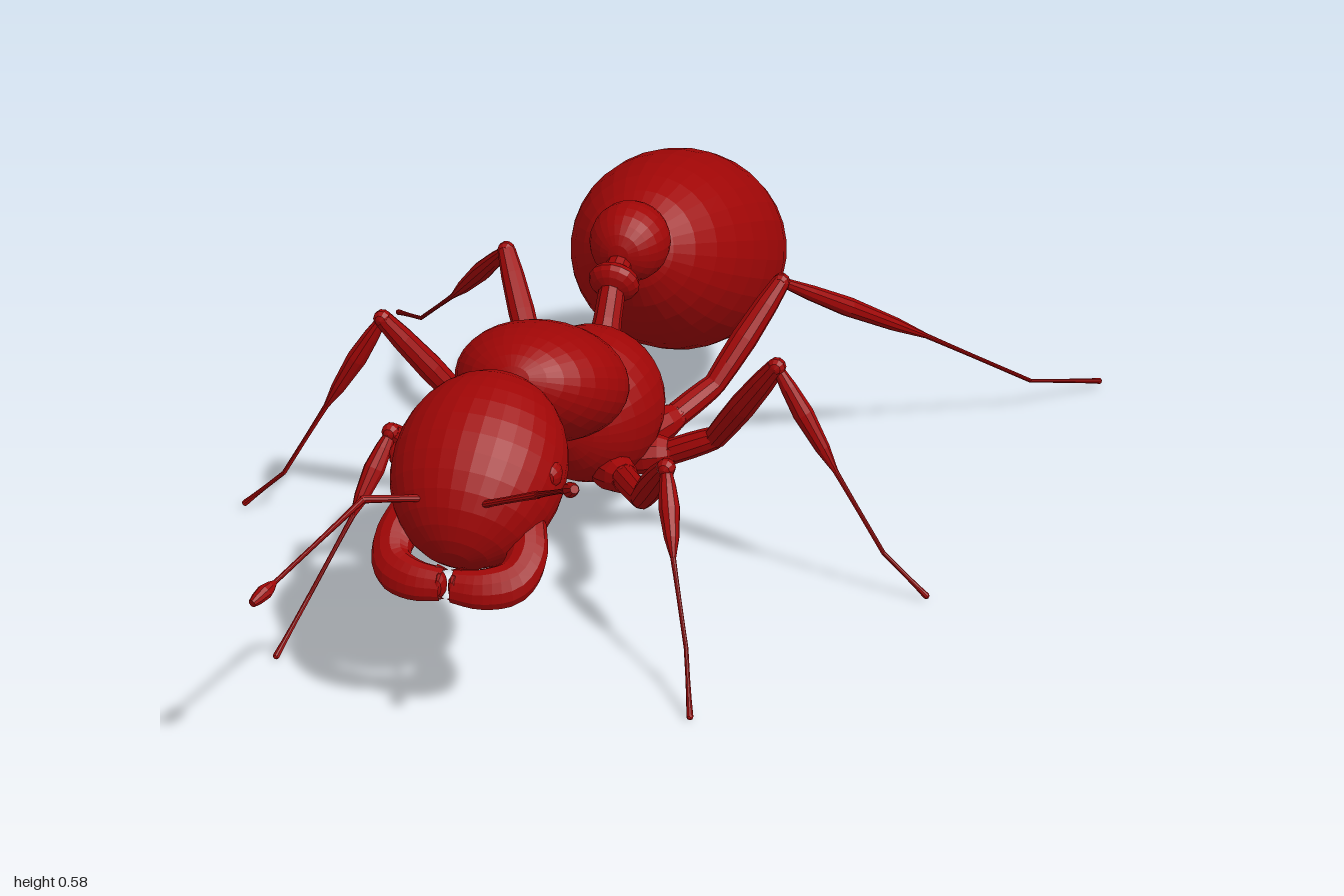
import * as THREE from 'three';

const red = new THREE.MeshStandardMaterial({ color: 0xa00606, flatShading: true });
const V = (p) => new THREE.Vector3(...p);
const UP = new THREE.Vector3(0, 1, 0);

function add(parent, name, geometry) {
  const mesh = new THREE.Mesh(geometry, red);
  mesh.name = name;
  parent.add(mesh);
  return mesh;
}

// Ellipsoid with its poles along z; positive tilt (degrees) lowers the front
function ellipsoid(parent, name, pos, radii, tilt = 0, seg = 32) {
  const mesh = add(parent, name, new THREE.SphereGeometry(1, seg, seg / 2).rotateX(Math.PI / 2));
  mesh.position.set(...pos);
  mesh.scale.set(...radii);
  mesh.rotation.x = THREE.MathUtils.degToRad(tilt);
  return mesh;
}

// Spindle between two points: start, middle and end radius
function segment(parent, name, a, b, [r0, r1, r2]) {
  const from = V(a), dir = V(b).sub(from), len = dir.length();
  const profile = [[0, 0], [r0, 0], [r0 * 0.4 + r1 * 0.6, 0.2], [r1, 0.45],
    [r1 * 0.6 + r2 * 0.4, 0.78], [r2, 1], [0, 1]].map(([r, t]) => new THREE.Vector2(r, t * len));
  const mesh = add(parent, name, new THREE.LatheGeometry(profile, 10));
  mesh.position.copy(from);
  mesh.quaternion.setFromUnitVectors(UP, dir.normalize());
  return mesh;
}

const legParts = [
  ['coxa', [0.036, 0.038, 0.026]],
  ['trochanter', [0.024, 0.024, 0.021]],
  ['femur', [0.021, 0.025, 0.017]],
  ['tibia', [0.009, 0.019, 0.005]],
  ['upperTarsus', [0.005, 0.004, 0.004]],
  ['lowerTarsus', [0.004, 0.004, 0.006]],
];

function leg(parent, name, points, side) {
  const group = new THREE.Group();
  group.name = name;
  const pts = points.map(([x, y, z]) => [x * side, y, z]);
  legParts.forEach(([part, radii], i) => {
    segment(group, part, pts[i], pts[i + 1], radii);
    const r = radii[2];
    ellipsoid(group, part + 'Joint', pts[i + 1], [r, r, r], 0, 10);
  });
  parent.add(group);
}

// Broad curved jaw: a tube flattened upright that narrows towards its tip, with teeth on the inner edge
function mandible(parent, name, side) {
  const group = new THREE.Group();
  group.name = name;
  const curve = new THREE.CatmullRomCurve3([
    [0.1, 0.345, 0.62], [0.116, 0.308, 0.665], [0.104, 0.283, 0.7], [0.062, 0.274, 0.722], [0.008, 0.274, 0.726],
  ].map(([x, y, z]) => new THREE.Vector3(x * side, y, z)));
  const steps = 16, sides = 12;
  const geo = new THREE.TubeGeometry(curve, steps, 0.036, sides);
  const p = geo.attributes.position, v = new THREE.Vector3();
  for (let i = 0; i < p.count; i++) {
    const t = Math.floor(i / (sides + 1)) / steps;
    const c = curve.getPointAt(t);
    const taper = 1 - 0.35 * t * t;
    v.fromBufferAttribute(p, i).sub(c).multiplyScalar(taper);
    // Shear forward along the jaw's own slope so the lower edge leads
    p.setXYZ(i, c.x + v.x, c.y + v.y * 1.1, c.z + v.z * 0.8 - v.y * 0.35);
  }
  add(group, 'jaw', geo);
  ellipsoid(group, 'jawTip', [0.012 * side, 0.274, 0.726], [0.01, 0.024, 0.018], 0, 10);
  for (let i = 0; i < 4; i++) {
    const tooth = add(group, 'tooth', new THREE.ConeGeometry(0.007, 0.02, 6));
    tooth.position.set(0.012 * side, 0.255 + i * 0.014, 0.738 - i * 0.008);
    tooth.rotation.z = side * Math.PI / 2;
  }
  parent.add(group);
}

function antenna(parent, name, base, elbow, tip) {
  const group = new THREE.Group();
  group.name = name;
  segment(group, 'scape', base, elbow, [0.007, 0.006, 0.007]);
  segment(group, 'flagellum', elbow, tip, [0.006, 0.004, 0.004]);
  const clubStart = V(elbow).lerp(V(tip), 0.8).toArray();
  segment(group, 'club', clubStart, tip, [0.004, 0.013, 0.007]);
  ellipsoid(group, 'socket', base, [0.009, 0.009, 0.009], 0, 10);
  ellipsoid(group, 'elbow', elbow, [0.007, 0.007, 0.007], 0, 10);
  parent.add(group);
}

export function createModel() {
  const model = new THREE.Group();
  model.name = 'ant';
  const body = new THREE.Group();
  body.name = 'body';
  body.position.x = -0.05;
  model.add(body);

  // Body sections from back to front
  ellipsoid(body, 'abdomen', [0, 0.348, -0.635], [0.195, 0.195, 0.347], -21);
  ellipsoid(body, 'rearWaistNode', [0, 0.49, -0.305], [0.075, 0.075, 0.078], 0, 24);
  ellipsoid(body, 'frontWaistNode', [0, 0.448, -0.205], [0.048, 0.045, 0.027], 25, 16);
  segment(body, 'waistStalk', [0, 0.35, -0.14], [0, 0.44, -0.195], [0.032, 0.026, 0.024]);
  segment(body, 'waistLink', [0, 0.455, -0.2], [0, 0.485, -0.28], [0.024, 0.024, 0.03]);
  ellipsoid(body, 'rearThorax', [0, 0.272, -0.05], [0.138, 0.143, 0.149]);
  ellipsoid(body, 'frontThorax', [0, 0.428, 0.218], [0.15, 0.107, 0.18], -24);
  segment(body, 'neck', [0, 0.47, 0.33], [0, 0.47, 0.45], [0.045, 0.036, 0.045]);
  ellipsoid(body, 'head', [0, 0.41, 0.558], [0.148, 0.132, 0.177], 37);

  // Face
  for (const s of [1, -1]) {
    const label = s > 0 ? 'left' : 'right';
    ellipsoid(body, label + 'Eye', [0.135 * s, 0.428, 0.578], [0.016, 0.023, 0.023], 0, 12);
    mandible(body, label + 'Mandible', s);
  }
  antenna(body, 'leftAntenna', [0.045, 0.41, 0.69], [0.16, 0.465, 0.735], [0.285, 0.58, 0.93]);
  antenna(body, 'rightAntenna', [-0.045, 0.41, 0.69], [-0.14, 0.415, 0.735], [-0.235, 0.335, 0.995]);

  // Legs, from hip to foot
  const front = [[0.05, 0.18, 0.01], [0.105, 0.19, 0.07], [0.17, 0.21, 0.18], [0.25, 0.335, 0.305],
    [0.29, 0.21, 0.395], [0.34, 0.09, 0.485], [0.372, 0.008, 0.57]];
  const middle = [[0.07, 0.18, -0.05], [0.15, 0.19, -0.06], [0.235, 0.23, -0.06], [0.368, 0.42, 0.02],
    [0.48, 0.235, 0.025], [0.57, 0.085, 0.02], [0.65, 0.012, 0.02]];
  const rearHip = [[0.06, 0.18, -0.1], [0.12, 0.2, -0.19], [0.175, 0.24, -0.265], [0.268, 0.41, -0.385]];
  for (const s of [1, -1]) {
    const label = s > 0 ? 'left' : 'right';
    leg(body, label + 'FrontLeg', front, s);
    leg(body, label + 'MiddleLeg', middle, s);
  }
  leg(body, 'leftRearLeg', [...rearHip, [0.49, 0.225, -0.64], [0.655, 0.065, -0.85], [0.765, 0.018, -0.995]], 1);
  leg(body, 'rightRearLeg', [...rearHip, [0.435, 0.23, -0.55], [0.575, 0.085, -0.75], [0.67, 0.035, -0.878]], -1);
  return model;
}
